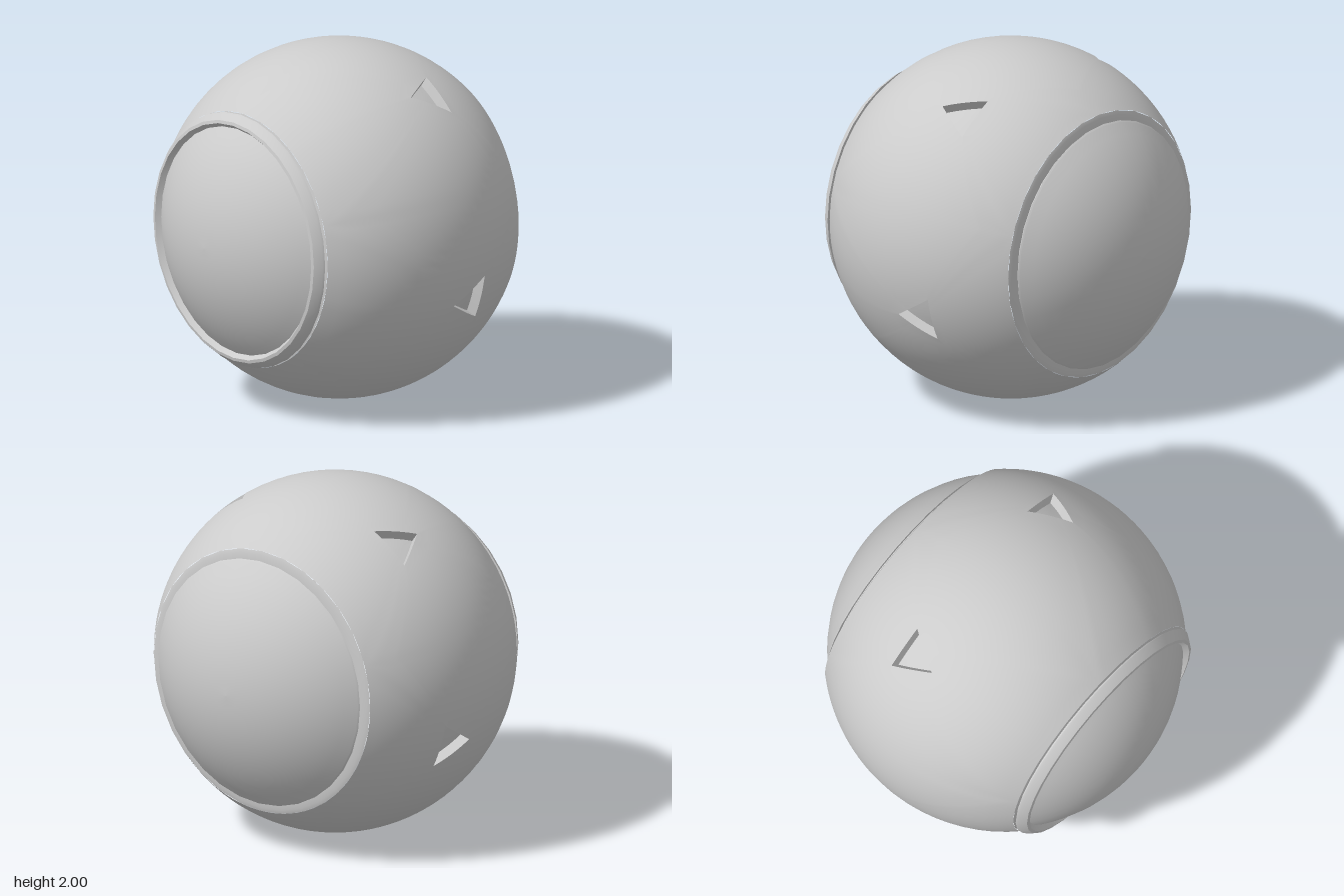
import * as THREE from 'three';
import { mergeGeometries, toCreasedNormals } from 'three/addons/utils/BufferGeometryUtils.js';

const material = new THREE.MeshStandardMaterial({ color: 0xcccccc });
const SEGMENTS = 32;
const CREASE = 0.42;
const BACK = Math.asin(-0.655), FRONT = Math.asin(0.695); // latitudes where the shell ends
const FLOOR_RADIUS = 0.94;
const CENTRE = [0, -0.165]; // notch centre as [longitude, latitude]
const NOTCH = [[0.136, -0.242], [0, -0.02], [-0.136, -0.242]];
const SECTOR = [
  [Math.PI / 5, BACK], [Math.PI / 5, FRONT], [-Math.PI / 5, FRONT], [-Math.PI / 5, BACK],
];

// Point on a sphere whose axis is z
function onSphere([lon, lat], radius, turn) {
  return [
    radius * Math.cos(lat) * Math.cos(lon + turn),
    radius * Math.cos(lat) * Math.sin(lon + turn),
    radius * Math.sin(lat),
  ];
}

// Where a ray from the notch centre leaves a convex outline
function rayHit(outline, angle) {
  const dx = Math.cos(angle), dy = Math.sin(angle);
  let best = Infinity;
  outline.forEach((a, i) => {
    const b = outline[(i + 1) % outline.length];
    const ex = b[0] - a[0], ey = b[1] - a[1];
    const px = a[0] - CENTRE[0], py = a[1] - CENTRE[1];
    const det = dx * ey - dy * ex;
    if (Math.abs(det) < 1e-9) return;
    const t = (px * ey - py * ex) / det;
    const u = (px * dy - py * dx) / det;
    if (t > 0 && u > -1e-6 && u < 1 + 1e-6) best = Math.min(best, t);
  });
  return [CENTRE[0] + dx * best, CENTRE[1] + dy * best];
}

const mix = (a, b, t) => [a[0] + (b[0] - a[0]) * t, a[1] + (b[1] - a[1]) * t];

// Rays all round the notch, including every corner of both outlines
const angles = [...NOTCH, ...SECTOR].map((p) => Math.atan2(p[1] - CENTRE[1], p[0] - CENTRE[0]));
for (let i = 0; i < 64; i++) {
  const a = -Math.PI + ((i + 0.5) / 64) * Math.PI * 2;
  if (angles.slice(0, 7).every((c) => Math.abs(c - a) > 0.02)) angles.push(a);
}
angles.sort((a, b) => a - b);
const innerLoop = angles.map((a) => rayHit(NOTCH, a));
const outerLoop = angles.map((a) => rayHit(SECTOR, a));

// Skin a list of closed loops, ordered outward from the notch centre
function skin(loops) {
  const n = loops[0].length;
  const index = [];
  for (let j = 0; j < loops.length - 1; j++) {
    for (let i = 0; i < n; i++) {
      const k = (i + 1) % n;
      const a = j * n + i, b = j * n + k, c = a + n, d = b + n;
      index.push(a, c, d, a, d, b);
    }
  }
  const geometry = new THREE.BufferGeometry();
  geometry.setAttribute('position', new THREE.Float32BufferAttribute(loops.flat(2), 3));
  geometry.setIndex(index);
  return geometry;
}

// One fifth of the shell: notch wall followed by the outer surface
function shellSector(turn) {
  const loops = [innerLoop.map((p) => onSphere(p, FLOOR_RADIUS, turn))];
  for (let j = 0; j <= 10; j++) {
    loops.push(innerLoop.map((p, i) => onSphere(mix(p, outerLoop[i], j / 10), 1, turn)));
  }
  return skin(loops);
}

function notchFloor(turn) {
  const loops = [0.02, 0.5, 1].map((s) =>
    innerLoop.map((p) => onSphere(mix(CENTRE, p, s), FLOOR_RADIUS, turn)));
  loops.unshift(loops[0].map(() => onSphere(CENTRE, FLOOR_RADIUS, turn)));
  return skin(loops);
}

function addMesh(group, name, geometry) {
  const mesh = new THREE.Mesh(geometry, material);
  mesh.name = name;
  group.add(mesh);
  return mesh;
}

// Profile of [radius, z] pairs, listed from back to front
function addTurned(group, name, profile, creased) {
  let geometry = new THREE.LatheGeometry(profile.map(([r, z]) => new THREE.Vector2(r, z)), SEGMENTS);
  geometry.rotateX(Math.PI / 2);
  if (creased) geometry = toCreasedNormals(geometry, CREASE);
  return addMesh(group, name, geometry);
}

// Arc of a dome profile between two latitudes
function dome(radius, from, to) {
  const points = [];
  for (let i = 0; i <= 10; i++) {
    const lat = from + ((to - from) * i) / 10;
    points.push([Math.max(0, radius * Math.cos(lat)), radius * Math.sin(lat)]);
  }
  return points;
}

export function createModel() {
  const model = new THREE.Group();
  const ball = new THREE.Group();
  ball.name = 'ball';
  ball.position.y = 1;
  model.add(ball);

  // Shell with five triangular notches evenly spaced round its belt
  const turns = [0, 1, 2, 3, 4].map((i) => -Math.PI / 2 + (i * Math.PI * 2) / 5);
  addMesh(ball, 'shell', toCreasedNormals(mergeGeometries(turns.map(shellSector)), CREASE));
  turns.forEach((turn, i) => {
    addMesh(ball, `notchFloor${i + 1}`, toCreasedNormals(notchFloor(turn), CREASE));
  });

  // Back cap and the groove round it
  const capEdge = Math.asin(-0.688 / 0.98);
  addTurned(ball, 'backCap', dome(0.98, -Math.PI / 2, capEdge));
  addTurned(ball, 'backGroove', [
    [0.98 * Math.cos(capEdge), -0.688], [0.705, -0.68], [0.69, -0.677], [0.69, -0.664],
    [0.735, -0.662], [Math.cos(BACK), -0.655],
  ], true);

  // Front groove, raised rim and recessed lens
  addTurned(ball, 'frontGroove', [
    [Math.cos(FRONT), 0.695], [0.7, 0.7], [0.7, 0.712], [0.718, 0.712],
  ], true);
  addTurned(ball, 'frontRim', [
    [0.718, 0.712], [0.712, 0.725], [0.682, 0.763], [0.664, 0.767], [0.638, 0.735],
  ], true);
  addTurned(ball, 'lens', dome(0.98, Math.asin(0.735 / 0.98), Math.PI / 2));

  return model;
}
